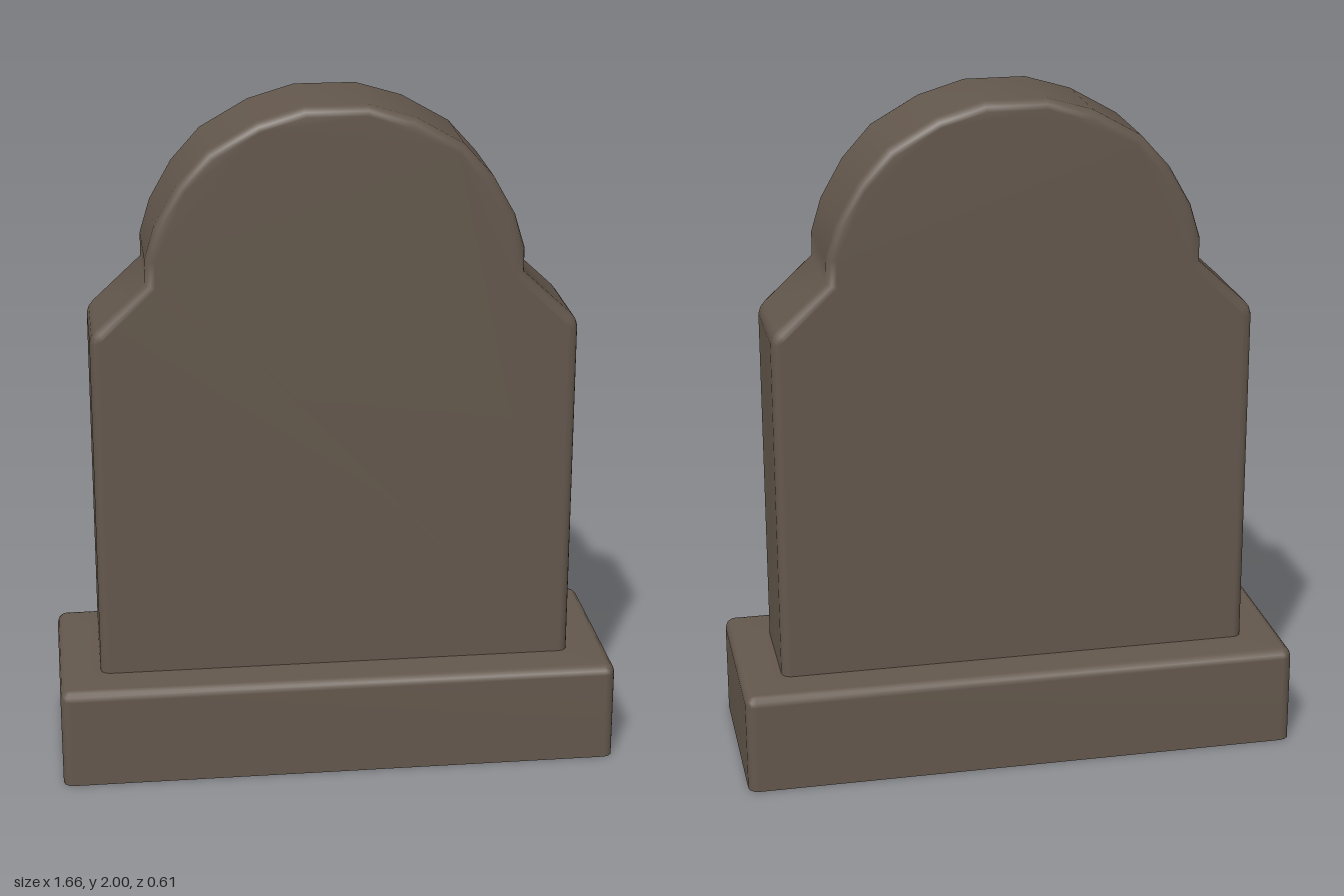
import * as THREE from 'three';
import { mergeGeometries, mergeVertices } from 'three/addons/utils/BufferGeometryUtils.js';

// Skin rows of points into a strip surface: (along the row) x (to next row) faces outward.
function skin(rows, closed) {
  const n = rows[0].length, index = [];
  for (let r = 0; r < rows.length - 1; r++) {
    for (let i = 0; i < (closed ? n : n - 1); i++) {
      const a = r * n + i, b = r * n + (i + 1) % n;
      index.push(a, b, a + n, b, b + n, a + n);
    }
  }
  const g = new THREE.BufferGeometry();
  g.setAttribute('position', new THREE.Float32BufferAttribute(rows.flat(2), 3));
  g.setIndex(index);
  return g;
}

// Rounded rectangle lying flat at height y.
function ring(hx, hz, radius, y) {
  const pts = [];
  [[1, 1], [-1, 1], [-1, -1], [1, -1]].forEach(([sx, sz], c) => {
    for (let k = 0; k <= 3; k++) {
      const a = (c + k / 3) * Math.PI / 2;
      pts.push([sx * (hx - radius) + radius * Math.cos(a), y, sz * (hz - radius) + radius * Math.sin(a)]);
    }
  });
  return pts;
}

// Move an open counter-clockwise outline inward by d, with mitred corners.
function inset(pts, d) {
  const edgeNormal = (p, q) => new THREE.Vector2(q[1] - p[1], p[0] - q[0]).normalize();
  return pts.map((p, i) => {
    const n1 = i > 0 ? edgeNormal(pts[i - 1], p) : edgeNormal(p, pts[1]);
    const n2 = i < pts.length - 1 ? edgeNormal(p, pts[i + 1]) : n1;
    const m = n1.clone().add(n2).normalize();
    const s = d / m.dot(n1);
    return [p[0] - m.x * s, p[1] - m.y * s];
  });
}

// Weld and smooth, with large faces dominating the normals.
function smooth(g) {
  g.deleteAttribute('uv');
  g.deleteAttribute('normal');
  g = mergeVertices(g, 1e-4);
  g.computeVertexNormals();
  return g;
}

const BEVEL = 0.028;
const bevelSteps = [0, 1, 2, 3].map(k => {
  const a = k / 3 * Math.PI / 2;
  return [BEVEL * (1 - Math.cos(a)), BEVEL * (1 - Math.sin(a))]; // [inset, distance from face]
});

// Hollow plinth, open below, with an opening under the slab.
function plinthGeometry() {
  const rows = [ring(0.707, 0.172, BEVEL, 0.3)];
  for (const [d, drop] of [...bevelSteps].reverse()) {
    rows.push(ring(0.83 - d, 0.303 - d, 0.03 - d, 0.3 - drop));
  }
  rows.push(ring(0.83, 0.303, 0.03, 0));
  return smooth(skin(rows, true));
}

// Upright slab with angled shoulders and an arched head, open below.
function slabGeometry() {
  const half = [[0.707, 0.3], [0.707, 1.33], [0.701, 1.35], [0.688, 1.367], [0.545, 1.5], [0.545, 1.57],
    [0.515, 1.67], [0.45, 1.785], [0.365, 1.88], [0.225, 1.96], [0.09, 2]];
  const outline = [...half, ...half.map(([x, y]) => [-x, y]).reverse()];
  const depth = 0.172;
  const row = (d, z) => inset(outline, d).map(([x, y]) => [x, y, z]);
  const rows = [
    ...[...bevelSteps].reverse().map(([d, drop]) => row(d, drop - depth)),
    ...bevelSteps.map(([d, drop]) => row(d, depth - drop)),
  ];
  const face = new THREE.ShapeGeometry(new THREE.Shape(
    inset(outline, BEVEL).map(([x, y]) => new THREE.Vector2(x, y))));
  face.deleteAttribute('uv');
  face.deleteAttribute('normal');
  const front = face.clone().translate(0, 0, depth);
  const back = face.clone().rotateY(Math.PI).translate(0, 0, -depth);
  return smooth(mergeGeometries([skin(rows, false), front, back]));
}

export function createModel() {
  const stone = new THREE.MeshStandardMaterial({ color: 0x64584d, side: THREE.DoubleSide });
  stone.name = 'brown stone';
  const group = new THREE.Group();
  group.name = 'headstone';
  for (const [name, geometry] of [['plinth', plinthGeometry()], ['slab', slabGeometry()]]) {
    const mesh = new THREE.Mesh(geometry, stone);
    mesh.name = name;
    group.add(mesh);
  }
  return group;
}
